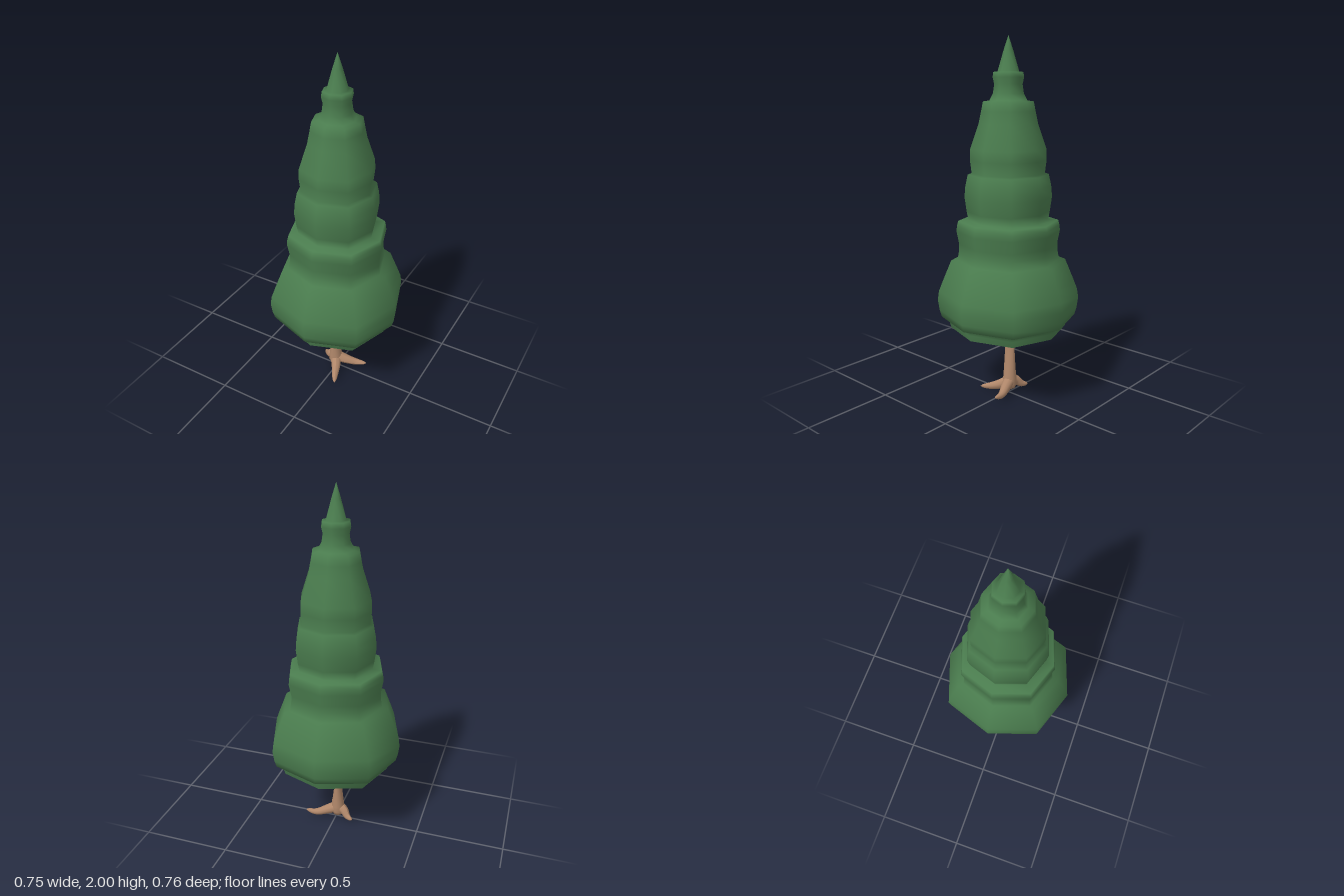
import * as THREE from 'three';

const green = new THREE.MeshStandardMaterial({ color: 0x4a7c4e, side: THREE.DoubleSide });
const bark = new THREE.MeshStandardMaterial({ color: 0xb0876a, side: THREE.DoubleSide });

function addMesh(group, name, geometry, material) {
  const mesh = new THREE.Mesh(geometry, material);
  mesh.name = name;
  group.add(mesh);
}

// Lathe from [radius, height] pairs, listed from bottom to top
function lathe(profile, sides) {
  return new THREE.LatheGeometry(profile.map(([r, y]) => new THREE.Vector2(r, y)), sides);
}

// Tube along a curve whose radius tapers by the rule radiusAt(t)
function taperedTube(points, radiusAt, steps = 14, sides = 10) {
  const path = new THREE.CatmullRomCurve3(points.map(p => new THREE.Vector3(...p)));
  const geometry = new THREE.TubeGeometry(path, steps, 1, sides);
  const pos = geometry.attributes.position;
  const v = new THREE.Vector3();
  for (let i = 0; i < pos.count; i++) {
    const t = Math.floor(i / (sides + 1)) / steps;
    const c = path.getPointAt(t);
    v.fromBufferAttribute(pos, i).sub(c).multiplyScalar(radiusAt(t)).add(c);
    pos.setXYZ(i, v.x, v.y, v.z);
  }
  return geometry;
}

export function createModel() {
  const tree = new THREE.Group();
  tree.name = 'tree';

  // Foliage: one hollow eight-sided shell with stepped tiers, open below
  const foliage = lathe([
    [0.305, 0.405], [0.315, 0.44], [0.32, 0.47], [0.355, 0.47], [0.366, 0.51],
    [0.374, 0.57], [0.367, 0.62], [0.345, 0.68], [0.3, 0.795], [0.267, 0.798],
    [0.258, 0.85], [0.257, 0.89], [0.27, 0.96], [0.267, 0.99], [0.26, 1.018],
    [0.207, 1.022], [0.216, 1.07], [0.226, 1.15], [0.221, 1.21], [0.208, 1.272],
    [0.188, 1.28], [0.196, 1.35], [0.194, 1.41], [0.15, 1.545], [0.137, 1.61],
    [0.128, 1.66], [0.095, 1.665], [0.078, 1.7], [0.071, 1.75], [0.079, 1.785],
    [0.075, 1.812], [0.054, 1.815], [0.025, 1.92], [0, 2],
  ], 8);
  // The diagonal corners stand out slightly further
  const fp = foliage.attributes.position;
  for (let i = 0; i < fp.count; i++) {
    const x = fp.getX(i), z = fp.getZ(i);
    const k = Math.min(Math.abs(x), Math.abs(z)) > 1e-4 ? 1.05 : 1;
    fp.setXYZ(i, x * k, fp.getY(i), z * k * 1.012);
  }
  addMesh(tree, 'foliage', foliage, green);

  // Trunk: oval in section, narrow across x and flaring at the base
  const trunk = lathe([
    [0, 0.025], [0.03, 0.03], [0.042, 0.055], [0.04, 0.09], [0.037, 0.14],
    [0.034, 0.22], [0.032, 0.3], [0.03, 0.42], [0.028, 0.6], [0, 0.61],
  ], 14);
  const tp = trunk.attributes.position;
  for (let i = 0; i < tp.count; i++) {
    const y = tp.getY(i);
    const squash = 0.5 + 0.5 * (1 - THREE.MathUtils.smoothstep(y, 0.04, 0.32));
    tp.setX(i, tp.getX(i) * squash - 0.012);
  }
  trunk.computeVertexNormals();
  addMesh(tree, 'trunk', trunk, bark);

  // Roots: curved and tapering to a rounded tip
  const roots = [
    ['leftRoot', [[-0.012, 0.075, 0], [0.045, 0.055, -0.02], [0.11, 0.038, -0.045], [0.175, 0.047, -0.055]]],
    ['frontRoot', [[-0.012, 0.07, 0], [0.015, 0.045, 0.045], [0.04, 0.025, 0.1], [0.068, 0.014, 0.158]]],
    ['rightRoot', [[-0.012, 0.075, 0], [-0.05, 0.065, -0.01], [-0.08, 0.038, -0.03], [-0.115, 0.03, -0.05]]],
  ];
  for (const [name, points] of roots) {
    const radius = t => (0.036 - 0.024 * t) * Math.sqrt(Math.max(0, 1 - t ** 8));
    const geometry = taperedTube(points, radius);
    geometry.computeVertexNormals();
    addMesh(tree, name, geometry, bark);
  }
  return tree;
}
